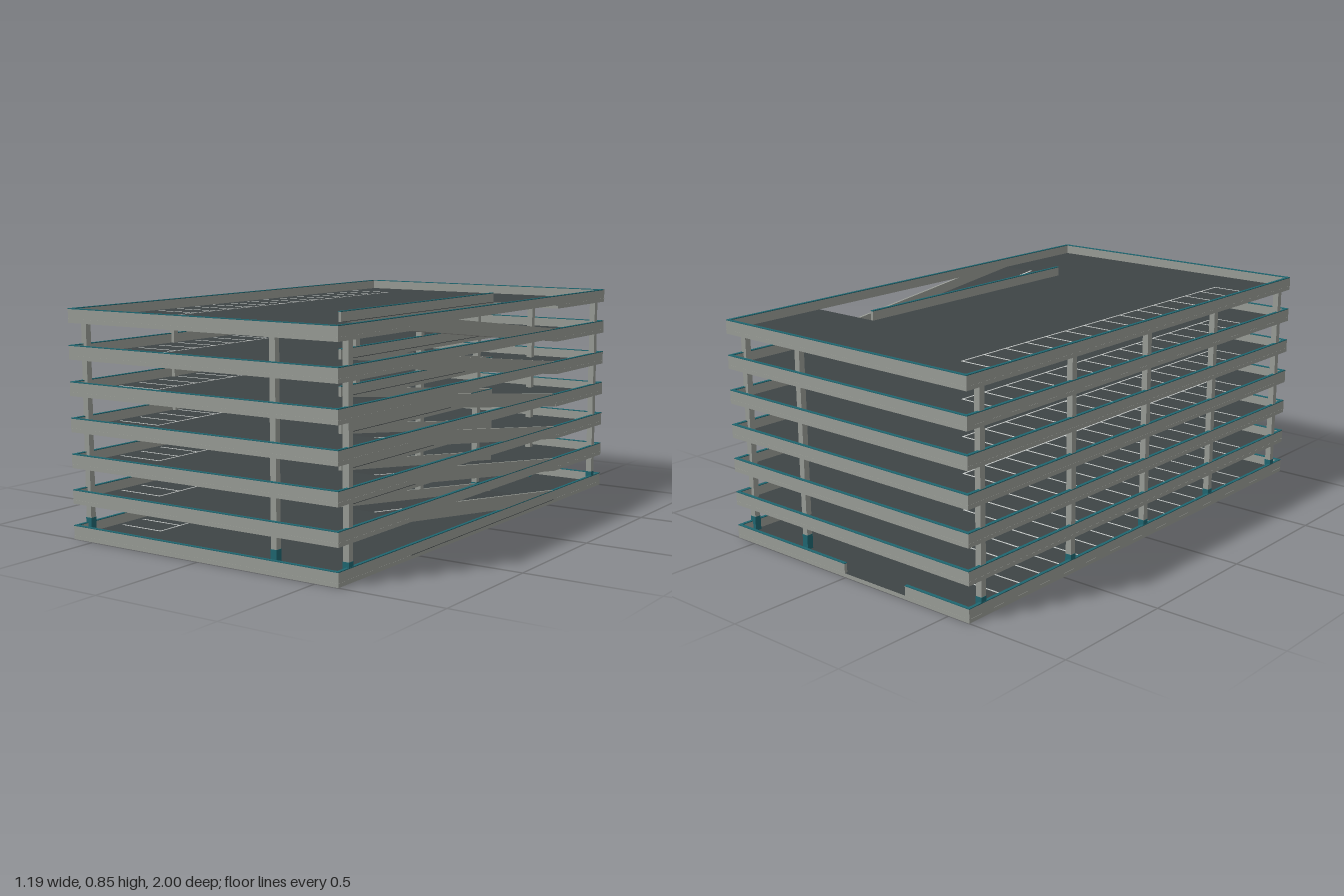
import * as THREE from 'three';

const mat = (name, color) => {
  const m = new THREE.MeshStandardMaterial({ color });
  m.name = name;
  return m;
};

export function createModel() {
  const concrete = mat('concrete', 0x989b95);
  const asphalt = mat('asphalt', 0x3e4445);
  const teal = mat('teal trim', 0x1f6670);
  const paint = mat('marking paint', 0xc8ccca);

  const W = 0.593, L = 1;               // half width and half length
  const PITCH = 0.1333, LEVELS = 7;     // storey height and deck count
  const SLAB = 0.015, BAND = 0.053;     // slab thickness, slab plus parapet
  const SKIN = 0.002, CAP = 0.003, T = 0.012;
  const RX = 0.297, RZ = 0.555;         // ramp opening: inner edge and half length

  const model = new THREE.Group();
  model.name = 'parkingGarage';

  const add = (parent, name, geometry, material) => {
    const mesh = new THREE.Mesh(geometry, material);
    mesh.name = name;
    parent.add(mesh);
    return mesh;
  };

  // Box given by its minimum and maximum corners
  const box = (parent, name, material, x0, x1, y0, y1, z0, z1) => {
    const g = new THREE.BoxGeometry(x1 - x0, y1 - y0, z1 - z0);
    g.translate((x0 + x1) / 2, (y0 + y1) / 2, (z0 + z1) / 2);
    return add(parent, name, g, material);
  };

  // Wall with a teal coping
  const wall = (parent, name, x0, x1, y0, y1, z0, z1) => {
    box(parent, name, concrete, x0, x1, y0, y1 - CAP, z0, z1);
    box(parent, name + 'Cap', teal, x0, x1, y1 - CAP, y1, z0, z1);
  };

  // Flat plate, with the ramp bay cut out of its +x side if open
  const plate = (open, y0, y1) => {
    const pts = [[-W, -L], [W, -L]];
    if (open) pts.push([W, -RZ], [RX, -RZ], [RX, RZ], [W, RZ]);
    pts.push([W, L], [-W, L]);
    const shape = new THREE.Shape(pts.map(([x, y]) => new THREE.Vector2(x, y)));
    const g = new THREE.ExtrudeGeometry(shape, { depth: y1 - y0, bevelEnabled: false });
    return g.rotateX(-Math.PI / 2).translate(0, y0, 0);
  };

  // Sloping strip, one storey high over the length of the ramp
  const slope = (parent, name, material, x0, x1, y0, y1) => {
    const shape = new THREE.Shape([
      new THREE.Vector2(-RZ, y0), new THREE.Vector2(RZ, y0 + PITCH),
      new THREE.Vector2(RZ, y1 + PITCH), new THREE.Vector2(-RZ, y1),
    ]);
    const g = new THREE.ExtrudeGeometry(shape, { depth: x1 - x0, bevelEnabled: false });
    add(parent, name, g.rotateY(-Math.PI / 2).translate(x1, 0, 0), material);
  };

  for (let i = 0; i < LEVELS; i++) {
    const deck = new THREE.Group();
    deck.name = 'deck' + i;
    deck.position.y = i * PITCH;
    model.add(deck);

    // Floor slab and driving surface
    add(deck, 'slab', plate(i > 0, 0, SLAB - SKIN), concrete);
    add(deck, 'drivingSurface', plate(i > 0, SLAB - SKIN, SLAB), asphalt);
    // Pale slab edges, so the rim reads as one concrete band
    const E = 0.0006, y0 = SLAB - SKIN;
    box(deck, 'frontRim', concrete, -W, W, y0, SLAB, L - E, L + E);
    box(deck, 'leftSideRimFront', concrete, W - E, W + E, y0, SLAB, RZ, L);
    box(deck, 'leftSideRimBack', concrete, W - E, W + E, y0, SLAB, -L, -RZ);
    box(deck, 'rightSideRim', concrete, -W - E, -W + E, y0, SLAB, -L, L);
    box(deck, 'backRim', concrete, -W, W, y0, SLAB, -L - E, -L + E);

    // Perimeter parapets; the ground floor has an entrance at the back
    wall(deck, 'frontParapet', -W, W, SLAB, BAND, L - T, L);
    for (const [a, b] of i ? [[-W, W]] : [[-W, -0.295], [0.005, W]])
      wall(deck, 'backParapet', a, b, SLAB, BAND, -L, -L + T);
    wall(deck, 'rightParapet', -W, -W + T, SLAB, BAND, -L + T, L - T);
    wall(deck, 'leftParapet', W - T, W, SLAB, BAND, -L + T, L - T);

    // Guard wall along the ramp opening
    if (i > 0) wall(deck, 'rampGuard', RX - T, RX, SLAB, BAND, -RZ, RZ);

    // Parking bay lines
    const top = SLAB + 0.001;
    for (let k = -7; k <= 7; k++) {
      const z = k * 0.111;
      box(deck, 'bayLine', paint, -0.56, -0.37, SLAB - 0.001, top, z - 0.003, z + 0.003);
    }
    box(deck, 'bayEndLine', paint, -0.373, -0.367, SLAB - 0.001, top, -0.78, 0.78);

    // Ramp up to the next deck
    if (i < LEVELS - 1) {
      const ramp = new THREE.Group();
      ramp.name = 'ramp' + i;
      deck.add(ramp);
      slope(ramp, 'rampSlab', concrete, RX, W - T, 0, SLAB - SKIN);
      slope(ramp, 'rampSurface', asphalt, RX, W - T, SLAB - SKIN, SLAB);
      slope(ramp, 'rampCentreLine', paint, 0.436, 0.444, SLAB - 0.001, SLAB + 0.001);
      slope(ramp, 'rampInnerWall', concrete, RX - T + 0.001, RX - 0.001, 0, BAND - 0.001);
      slope(ramp, 'rampOuterWall', concrete, W - T + 0.001, W - 0.001, 0, BAND - 0.001);
    }
  }

  // Columns through all storeys with teal guards at their feet
  const roofY = (LEVELS - 1) * PITCH, H = 0.012;
  for (const x of [-0.579, 0.283, 0.579]) {
    for (const z of [-0.925, -0.445, 0, 0.445, 0.925]) {
      if (x > 0.5 && Math.abs(z) < 0.9) continue; // ramp bay stays clear
      box(model, 'column', concrete, x - H, x + H, SLAB, roofY, z - H, z + H);
      const B = H + 0.001;
      box(model, 'columnGuard', teal, x - B, x + B, SLAB, 0.071, z - B, z + B);
    }
  }
  return model;
}
